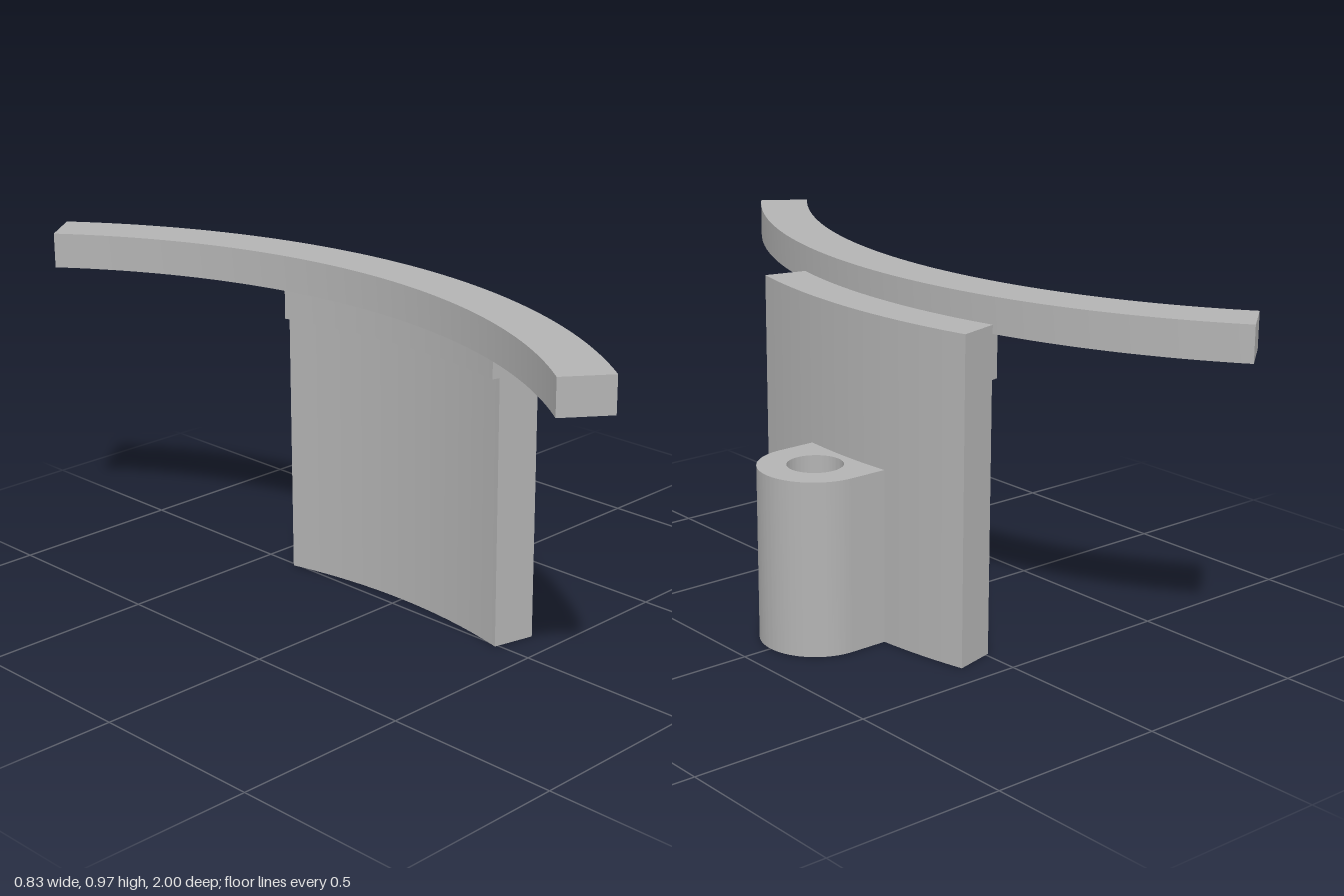
import * as THREE from 'three';
import { toCreasedNormals } from 'three/addons/utils/BufferGeometryUtils.js';

const CX = -1.602;      // common centre of all the arcs
const R_RAIL = 1.64;    // rail outside = plate inside
const R_PLATE = 1.76;   // plate outside

// Plan shape of a ring sector, symmetric about the x axis
function sector(rIn, rOut, halfAngle) {
  const s = new THREE.Shape();
  s.absarc(CX, 0, rOut, -halfAngle, halfAngle, false);
  s.absarc(CX, 0, rIn, halfAngle, -halfAngle, true);
  s.closePath();
  return s;
}

export function createModel() {
  const group = new THREE.Group();
  const grey = new THREE.MeshStandardMaterial({ color: 0xb3b3b3 });
  grey.name = 'grey';

  // Raise a plan shape from y0 to y1
  function add(name, shape, y0, y1) {
    const geo = new THREE.ExtrudeGeometry(shape, {
      depth: y1 - y0, bevelEnabled: false, curveSegments: 40,
    });
    geo.rotateX(-Math.PI / 2);
    geo.translate(0, y0, 0);
    const mesh = new THREE.Mesh(toCreasedNormals(geo, Math.PI / 6), grey);
    mesh.name = name;
    group.add(mesh);
  }

  // Curved rail, plate below it and the thin lip under the rail
  const plateAngle = Math.asin(0.42 / R_PLATE);
  add('rail', sector(1.5, R_RAIL, Math.asin(1 / R_RAIL)), 0.873, 0.97);
  add('plate', sector(R_RAIL, R_PLATE, plateAngle), 0, 0.897);
  add('lip', sector(1.618, R_RAIL, plateAngle), 0.752, 0.873);

  // Boss with straight flanks, a round nose and a through hole
  const r = 0.155, bx = 0.26;
  const a = Math.asin(r / R_PLATE);
  const boss = new THREE.Shape();
  boss.absarc(bx, 0, r, -Math.PI / 2, Math.PI / 2, false);
  boss.absarc(CX, 0, R_PLATE, a, -a, true);
  boss.closePath();
  const hole = new THREE.Path();
  hole.absarc(bx, 0, 0.076, 0, Math.PI * 2, true);
  boss.holes.push(hole);
  add('boss', boss, 0, 0.485);

  return group;
}
